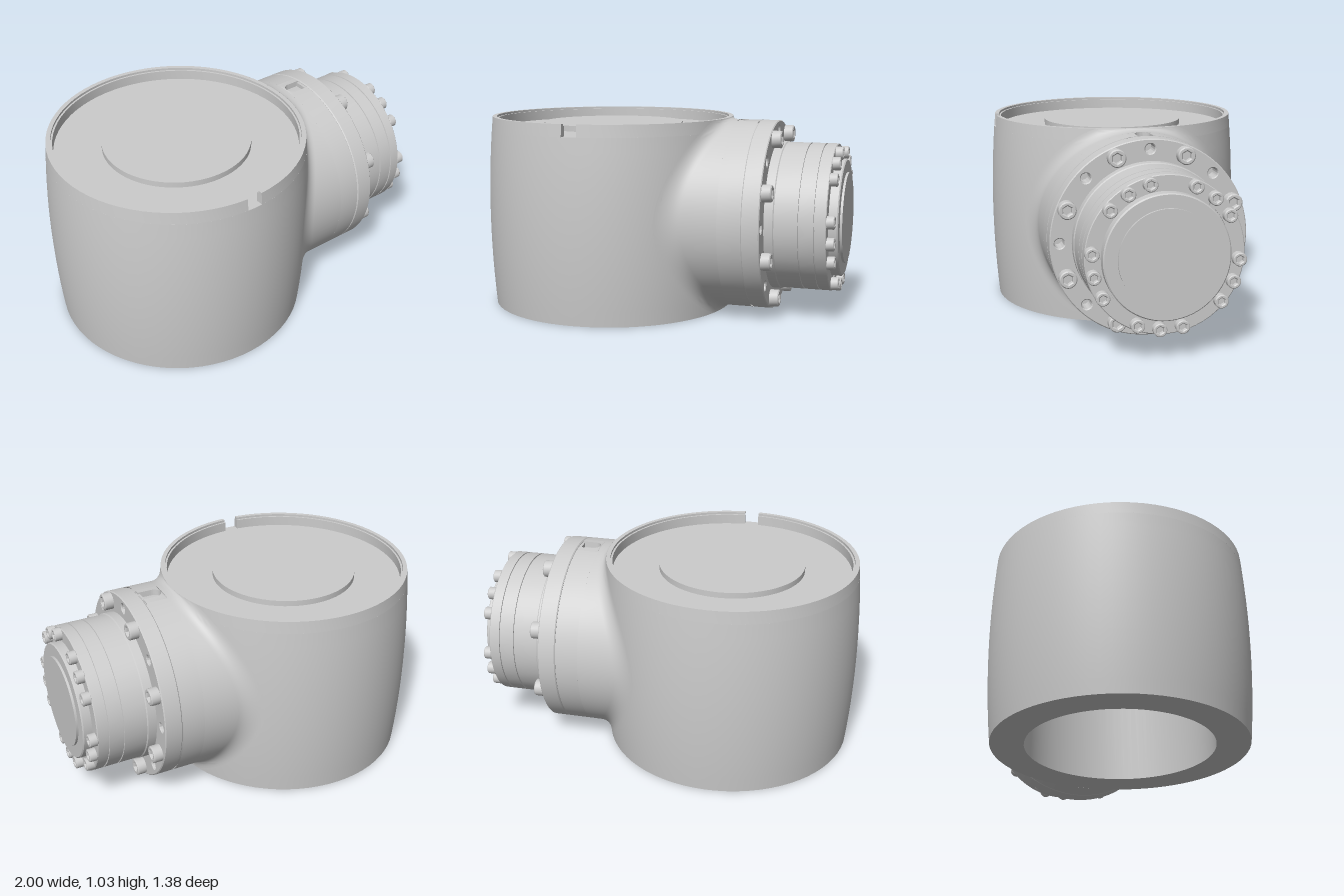
import * as THREE from 'three';
import { toCreasedNormals } from 'three/addons/utils/BufferGeometryUtils.js';

const H = 1.035, CX = -0.31, AXIS = 0.52, R = 0.505; // housing height, housing axis x, neck axis y, neck radius
const mat = new THREE.MeshStandardMaterial({ color: 0xcccccc, side: THREE.DoubleSide });

function add(parent, name, geo) {
  const mesh = new THREE.Mesh(toCreasedNormals(geo, 0.5), mat);
  mesh.name = name;
  parent.add(mesh);
  return mesh;
}

const bodyRadius = y => 0.69 - 0.025 * ((y - H / 2) / (H / 2)) ** 2;

const lathe = (pts, n = 72, start = 0, len = Math.PI * 2) =>
  new THREE.LatheGeometry(pts.map(p => new THREE.Vector2(p[0], p[1])), n, start, len);

// Surface from a function of (u, v) in 0..1
function surface(nu, nv, f) {
  const pos = [], idx = [];
  for (let j = 0; j <= nv; j++)
    for (let i = 0; i <= nu; i++) pos.push(...f(i / nu, j / nv));
  for (let j = 0; j < nv; j++)
    for (let i = 0; i < nu; i++) {
      const a = j * (nu + 1) + i, b = a + 1, c = a + nu + 1, d = c + 1;
      idx.push(a, b, c, b, d, c);
    }
  const g = new THREE.BufferGeometry();
  g.setAttribute('position', new THREE.Float32BufferAttribute(pos, 3));
  g.setIndex(idx);
  return g;
}

const onNeck = (x, r, t) => [x, AXIS + r * Math.cos(t), r * Math.sin(t)];

// Point on the barrel housing, facing the neck, at radius r around the neck axis
function onBody(r, t) {
  const y = THREE.MathUtils.clamp(AXIS + r * Math.cos(t), 0, H), z = r * Math.sin(t);
  return [CX + Math.sqrt(bodyRadius(y) ** 2 - z * z), y, z];
}

function circle(r) {
  const s = new THREE.Shape();
  s.absarc(0, 0, r, 0, Math.PI * 2);
  return s;
}

// Hexagon socket screw head standing on +y
function screw(r, h) {
  const s = circle(r), hex = new THREE.Path();
  for (let i = 0; i < 6; i++) {
    const a = i * Math.PI / 3, p = [r * 0.55 * Math.cos(a), r * 0.55 * Math.sin(a)];
    i ? hex.lineTo(...p) : hex.moveTo(...p);
  }
  hex.closePath();
  s.holes.push(hex);
  const b = r * 0.12;
  const head = new THREE.ExtrudeGeometry(s, {
    depth: h - b, bevelThickness: b, bevelSize: b, bevelOffset: -b, bevelSegments: 1, curveSegments: 10 });
  return head.rotateX(-Math.PI / 2);
}

function addScrews(parent, name, angles, ring, y, r, h) {
  const head = screw(r, h), floor = new THREE.CylinderGeometry(r * 0.7, r * 0.7, h * 0.4, 12);
  for (const deg of angles) {
    const a = THREE.MathUtils.degToRad(deg), g = new THREE.Group();
    g.name = name;
    g.position.set(-ring * Math.cos(a), y, ring * Math.sin(a));
    add(g, name + 'Head', head);
    add(g, name + 'Socket', floor).position.y = h * 0.2;
    parent.add(g);
  }
}

export function createModel() {
  const model = new THREE.Group();
  model.name = 'jointHousing';

  // Barrel housing, bored from below
  const housing = new THREE.Group();
  housing.name = 'housing';
  housing.position.x = CX;
  model.add(housing);
  const FLOOR = 0.97, wall = [];
  for (let i = 0; i <= 12; i++) wall.push([bodyRadius(FLOOR * i / 12), FLOOR * i / 12]);
  add(housing, 'barrel', lathe([[0, 0.9], [0.49, 0.9], [0.49, 0], ...wall, [0.63, FLOOR], [0, FLOOR]]));

  // Top rim with a notch at the front
  const gap = 0.061;
  const rim = [[bodyRadius(FLOOR), FLOOR], [bodyRadius(H), H], [0.642, H], [0.642, H - 0.012], [0.632, H - 0.012], [0.632, FLOOR]];
  add(housing, 'topRim', lathe(rim, 72, gap, Math.PI * 2 - 2 * gap));
  for (const s of [-1, 1]) {
    const end = new THREE.ShapeGeometry(new THREE.Shape(rim.map(p => new THREE.Vector2(...p))));
    add(housing, 'notchWall', end.rotateY(s * gap - Math.PI / 2));
  }
  const disc = add(housing, 'coverDisc', new THREE.CylinderGeometry(0.385, 0.385, 0.03, 64));
  disc.position.y = FLOOR + 0.015;

  // Neck: fillet out of the barrel, then a straight sleeve with a keyway on top
  const X0 = 0.408, X1 = 0.525, KEY = 0.15, D = 0.055;
  add(model, 'neckFillet', surface(96, 10, (u, v) => {
    const t = u * Math.PI * 2, a = onBody(R + D, t), c = onBody(R, t);
    if (v === 1) return onNeck(X0, R, t);
    const b = onNeck(Math.min(c[0] + D, X0 - 0.002), R, t), k = v / 0.9;
    return a.map((p, i) => (1 - k) ** 2 * p + 2 * k * (1 - k) * c[i] + k * k * b[i]);
  }));
  add(model, 'neckSleeve', surface(90, 1, (u, v) =>
    onNeck(X0 + v * (X1 - X0), R, KEY + u * (Math.PI * 2 - 2 * KEY))));
  add(model, 'keywayFloor', surface(8, 1, (u, v) =>
    onNeck(X0 + v * (X1 - X0), R - 0.03, (u * 2 - 1) * KEY)));
  const w = KEY * R, k = 0.04, key = new THREE.Shape();
  key.moveTo(-w, X0);
  key.lineTo(w, X0);
  key.lineTo(w, X1);
  key.lineTo(k, X1);
  key.lineTo(k, X0 + 0.006 + k);
  key.absarc(0, X0 + 0.006 + k, k, 0, -Math.PI, true);
  key.lineTo(-k, X1);
  key.lineTo(-w, X1);
  const keyGeo = new THREE.ExtrudeGeometry(key, { depth: 0.03, bevelEnabled: false, curveSegments: 12 });
  const p = keyGeo.attributes.position;
  for (let i = 0; i < p.count; i++)
    p.setXYZ(i, ...onNeck(p.getY(i), R - 0.03 + p.getZ(i), p.getX(i) / R));
  add(model, 'keyway', keyGeo);

  // Output end: local y runs along the neck axis
  const output = new THREE.Group();
  output.name = 'outputEnd';
  output.position.y = AXIS;
  output.rotation.z = -Math.PI / 2;
  model.add(output);

  add(output, 'sealGroove', lathe([[0.3, 0.515], [0.497, 0.515], [0.497, 0.54]], 96));

  // Mounting flange with pin holes
  const ring = circle(R);
  ring.holes.push(new THREE.Path().absarc(0, 0, 0.35, 0, Math.PI * 2));
  for (let i = 0; i < 8; i++) {
    const a = i * Math.PI / 4;
    ring.holes.push(new THREE.Path().absarc(0.455 * Math.cos(a), 0.455 * Math.sin(a), 0.025, 0, Math.PI * 2));
  }
  const b = 0.005;
  const flange = new THREE.ExtrudeGeometry(ring, {
    depth: 0.095 - 2 * b, bevelThickness: b, bevelSize: b, bevelOffset: -b, bevelSegments: 1, curveSegments: 48 });
  add(output, 'flange', flange.rotateX(-Math.PI / 2)).position.y = 0.53 + b;
  addScrews(output, 'flangeScrew', [0, 1, 2, 3, 4, 5, 6, 7].map(i => 22.5 + 45 * i), 0.455, 0.624, 0.045, 0.05);

  // Stepped drum with fine seams, and raised end cap
  const drum = [[0.395, 0.6], [0.395, 0.67], [0.39, 0.675]];
  for (const y of [0.8, 0.88])
    drum.push([0.39, y - 0.004], [0.384, y - 0.003], [0.384, y + 0.003], [0.39, y + 0.004]);
  drum.push([0.39, 0.936], [0.386, 0.94], [0.318, 0.94], [0.318, 0.932], [0.31, 0.932],
    [0.31, 0.982], [0.304, 0.988], [0.24, 0.988], [0.24, 1], [0, 1]);
  add(output, 'drum', lathe(drum, 80));
  const groups = [];
  for (let i = 0; i < 5; i++)
    for (const d of [-18, 0, 18]) groups.push(31 + 72 * i + d);
  addScrews(output, 'drumScrew', groups, 0.358, 0.939, 0.034, 0.04);

  return model;
}
